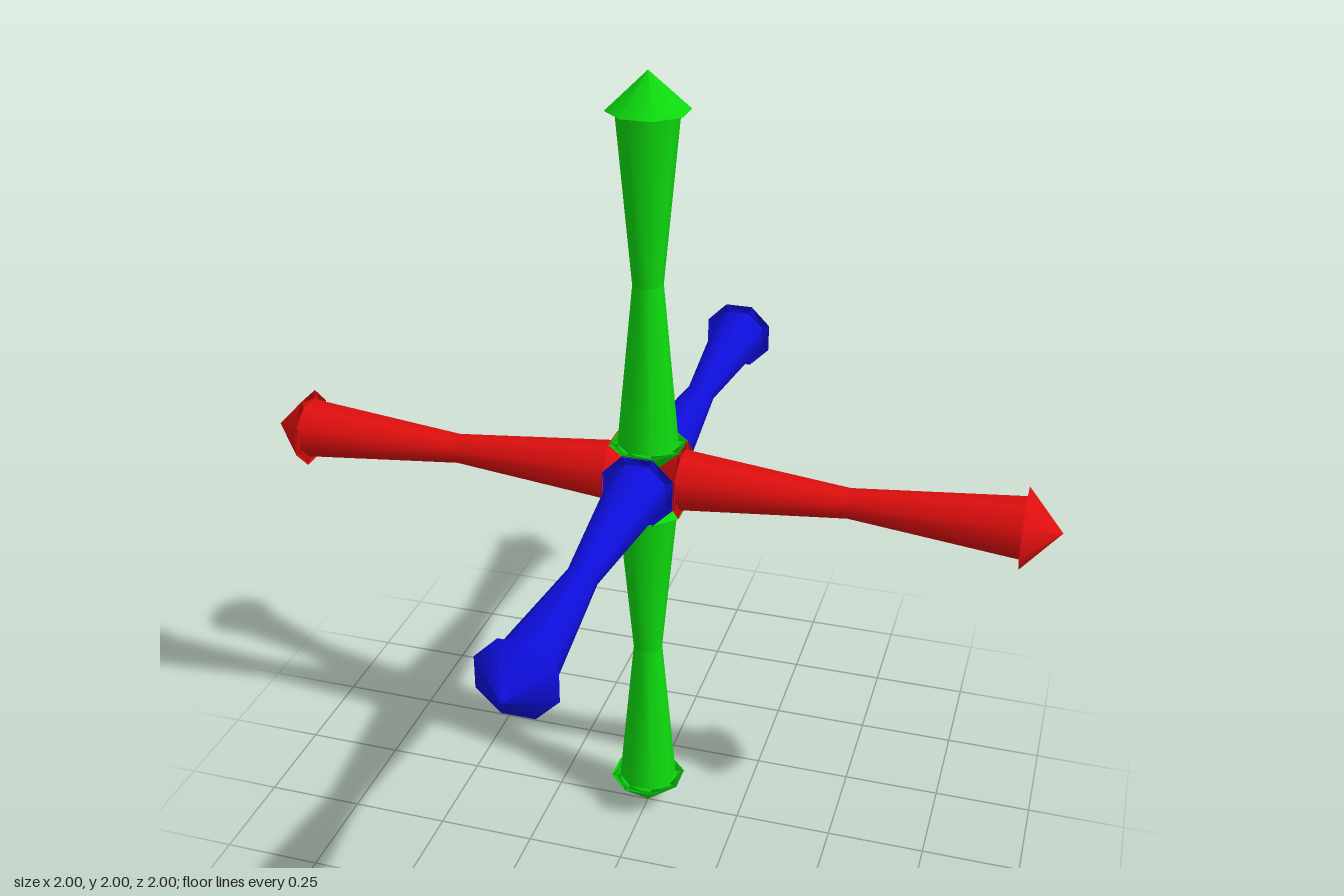
import * as THREE from 'three';

const SIDES = 8;
const mat = (name, color) => {
  const m = new THREE.MeshStandardMaterial({ color });
  m.name = name;
  return m;
};

// Octagonal lathe along +y, turned so its flats face the axes
const turned = (profile) => new THREE.LatheGeometry(
  profile.map(([r, y]) => new THREE.Vector2(r, y)), SIDES, Math.PI / SIDES);

export function createModel() {
  const red = mat('red', 0xe00e0e);
  const green = mat('green', 0x0edc0e);
  const blue = mat('blue', 0x0e0edc);

  // One arm runs from 0 to 1: two cone heads joined by a waisted shaft
  const innerHead = turned([[0, 0], [0.098, 0.089], [0.075, 0.089]]);
  const lowerShaft = turned([[0.075, 0.089], [0.037, 0.5]]);
  const upperShaft = turned([[0.037, 0.5], [0.075, 0.911]]);
  const outerHead = turned([[0.075, 0.911], [0.098, 0.911], [0, 1]]);

  const model = new THREE.Group();
  model.name = 'axisCross';

  const arms = [
    ['leftArm', red, [1, 0, 0]],
    ['rightArm', red, [-1, 0, 0]],
    ['topArm', green, [0, 1, 0]],
    ['bottomArm', green, [0, -1, 0]],
    ['frontArm', blue, [0, 0, 1]],
    ['backArm', blue, [0, 0, -1]],
  ];
  const up = new THREE.Vector3(0, 1, 0);
  for (const [name, material, dir] of arms) {
    const arm = new THREE.Group();
    arm.name = name;
    const parts = { innerHead, lowerShaft, upperShaft, outerHead };
    for (const [part, geometry] of Object.entries(parts)) {
      const mesh = new THREE.Mesh(geometry, material);
      mesh.name = part;
      arm.add(mesh);
    }
    arm.quaternion.setFromUnitVectors(up, new THREE.Vector3(...dir));
    arm.position.y = 1;
    model.add(arm);
  }
  return model;
}
